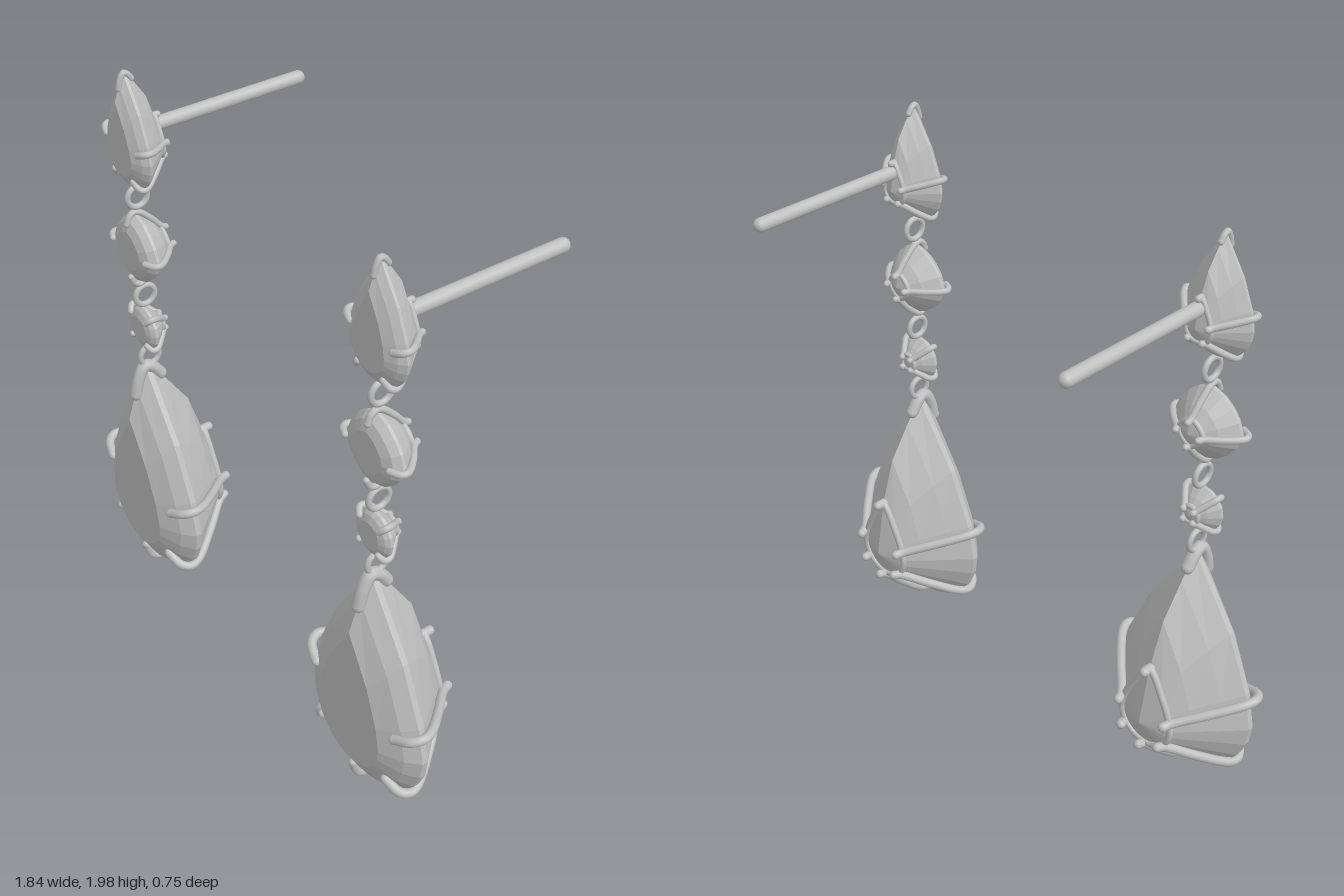
import * as THREE from 'three';

const gemMat = new THREE.MeshStandardMaterial({ color: 0xbfbfbf, flatShading: true });
gemMat.name = 'gem grey';
const metalMat = new THREE.MeshStandardMaterial({ color: 0xbfbfbf });
metalMat.name = 'metal grey';

function add(group, name, geometry, material) {
  const mesh = new THREE.Mesh(geometry, material);
  mesh.name = name;
  group.add(mesh);
  return mesh;
}

// Outlines run counter-clockwise as seen from the front.
function pearOutline() {
  const right = [[0.16, 0.33], [0.245, 0.13]];
  for (let d = 0; d < 90; d += 15) {
    const a = -d * Math.PI / 180;
    right.push([0.272 * Math.cos(a), 0.272 * Math.sin(a)]);
  }
  const left = right.map(([x, y]) => [-x, y]);
  return [[0, 0.57], ...left, [0, -0.272], ...right.reverse()];
}

function roundOutline(radius, power, count) {
  return Array.from({ length: count }, (_, i) => {
    const a = i / count * Math.PI * 2, c = Math.cos(a), s = Math.sin(a);
    const r = radius / Math.pow(Math.abs(c) ** power + Math.abs(s) ** power, 1 / power);
    return [r * c, r * s];
  });
}

// Faceted stone: scaled outlines [scale, upper scale, z] from table to pavilion, closed by a culet.
function stoneGeometry(outline, loops, culetZ) {
  const rings = loops.map(([s, up, z]) =>
    outline.map(([x, y]) => [x * s, y * (y > 0 ? up : s), z]));
  const out = [], n = outline.length;
  const first = rings[0], last = rings[rings.length - 1];
  for (let i = 0; i < n; i++) {
    const j = (i + 1) % n;
    out.push([0, 0, first[0][2]], first[i], first[j]);
    for (let k = 0; k < rings.length - 1; k++) {
      const a = rings[k], b = rings[k + 1];
      out.push(a[i], b[i], b[j], a[i], b[j], a[j]);
    }
    out.push([0, 0, culetZ], last[j], last[i]);
  }
  const g = new THREE.BufferGeometry();
  g.setAttribute('position', new THREE.Float32BufferAttribute(out.flat(), 3));
  g.computeVertexNormals();
  return g;
}

// Round wire through points, with ball ends unless closed.
function wire(group, name, points, radius, closed = false) {
  const pts = points.map(p => new THREE.Vector3(...p));
  const curve = new THREE.CatmullRomCurve3(pts, closed, 'centripetal');
  const part = new THREE.Group();
  part.name = name;
  add(part, name + 'Wire', new THREE.TubeGeometry(curve, pts.length * 6, radius, 10, closed), metalMat);
  if (!closed) {
    for (const p of [pts[0], pts[pts.length - 1]]) {
      add(part, name + 'End', new THREE.SphereGeometry(radius, 10, 8), metalMat).position.copy(p);
    }
  }
  group.add(part);
}

// Claw running along the pavilion, around the girdle and onto the crown; path is [scale, z].
function claws(group, feet, path, radius) {
  for (const [x, y] of feet) {
    wire(group, 'prong', path.map(([s, z]) => [x * s, y * s, z]), radius);
  }
}

function basketRing(group, outline, scale, z, radius) {
  wire(group, 'basketRing', outline.map(([x, y]) => [x * scale, y * scale, z]), radius, true);
}

const mirrored = feet => feet.flatMap(([x, y]) => [[x, y], [-x, y]]);

function pearDrop(name, feet, radius) {
  const g = new THREE.Group();
  g.name = name;
  const outline = pearOutline();
  add(g, 'pearStone', stoneGeometry(outline, [
    [0.57, 0.68, 0.09], [0.85, 0.88, 0.05], [1, 1, 0.01], [1, 1, -0.01],
    [0.8, 0.86, -0.07], [0.54, 0.65, -0.148], [0.36, 0.36, -0.2],
  ], -0.235), gemMat);
  claws(g, feet, [[0.36, -0.23], [0.4, -0.205], [0.72, -0.115], [1, -0.025],
    [1.04, 0.012], [0.97, 0.045], [0.76, 0.066]], radius);
  basketRing(g, outline, 0.37, -0.2, radius * 0.75);
  wire(g, 'topNub', [[0, 0.21, -0.19], [0, 0.21, -0.225]], radius);
  // Claw covering the pointed tip
  wire(g, 'tipProng', [[0, 0.48, 0.055], [0, 0.54, 0.04], [0, 0.582, 0.012],
    [0, 0.57, -0.015], [0, 0.53, -0.045]], 0.022);
  return g;
}

function smallStone(name, radius, power, clawTurn) {
  const g = new THREE.Group();
  g.name = name;
  const k = radius / 0.125, outline = roundOutline(radius, power, 16);
  add(g, 'roundStone', stoneGeometry(outline, [
    [0.58, 0.58, 0.04 * k], [0.85, 0.85, 0.026 * k], [1, 1, 0.005], [1, 1, -0.005],
    [0.65, 0.65, -0.055 * k], [0.28, 0.28, -0.09 * k],
  ], -0.1 * k), gemMat);
  const feet = [0, 1, 2, 3].map(i => {
    const a = clawTurn + i * Math.PI / 2;
    return [radius * Math.cos(a), radius * Math.sin(a)];
  });
  claws(g, feet, [[0.34, -0.105 * k], [0.4, -0.09 * k], [0.72, -0.055 * k],
    [1.04, -0.01], [1.08, 0.008], [1, 0.024 * k], [0.8, 0.036 * k]], 0.011);
  basketRing(g, outline, 0.36, -0.085 * k, 0.009);
  return g;
}

function earring() {
  const g = new THREE.Group();
  g.name = 'earring';
  const Z = 0.285;
  const place = (part, y, scale = 1) => {
    part.position.set(0, y, Z);
    part.scale.setScalar(scale);
    g.add(part);
  };

  place(pearDrop('largePearDrop',
    [...mirrored([[0.26, 0.11], [0.215, -0.168]]), [0, -0.272]], 0.016), 0.31);
  place(smallStone('roundSetting', 0.08, 2, Math.PI / 4), 1.05);
  place(smallStone('cushionSetting', 0.125, 1.55, 0), 1.36);
  place(pearDrop('topPearSetting', mirrored([[0.265, 0.095], [0.16, -0.22]]), 0.024), 1.713, 0.455);

  // Jump rings between the settings
  for (const y of [0.93, 1.175, 1.547]) {
    const ring = add(g, 'jumpRing', new THREE.TorusGeometry(0.036, 0.01, 10, 28), metalMat);
    ring.rotation.y = Math.PI / 2;
    ring.position.set(0, y, 0.275);
  }

  // Ear post with a rounded tip
  const post = add(g, 'earPost', new THREE.CapsuleGeometry(0.023, 0.53, 6, 16), metalMat);
  post.rotation.x = Math.PI / 2;
  post.position.set(0, 1.777, -0.084);
  return g;
}

export function createModel() {
  const model = new THREE.Group();
  model.name = 'dropEarrings';
  for (const side of [-1, 1]) {
    const e = earring();
    e.name = side > 0 ? 'leftEarring' : 'rightEarring';
    e.position.x = side * 0.632;
    model.add(e);
  }
  return model;
}
